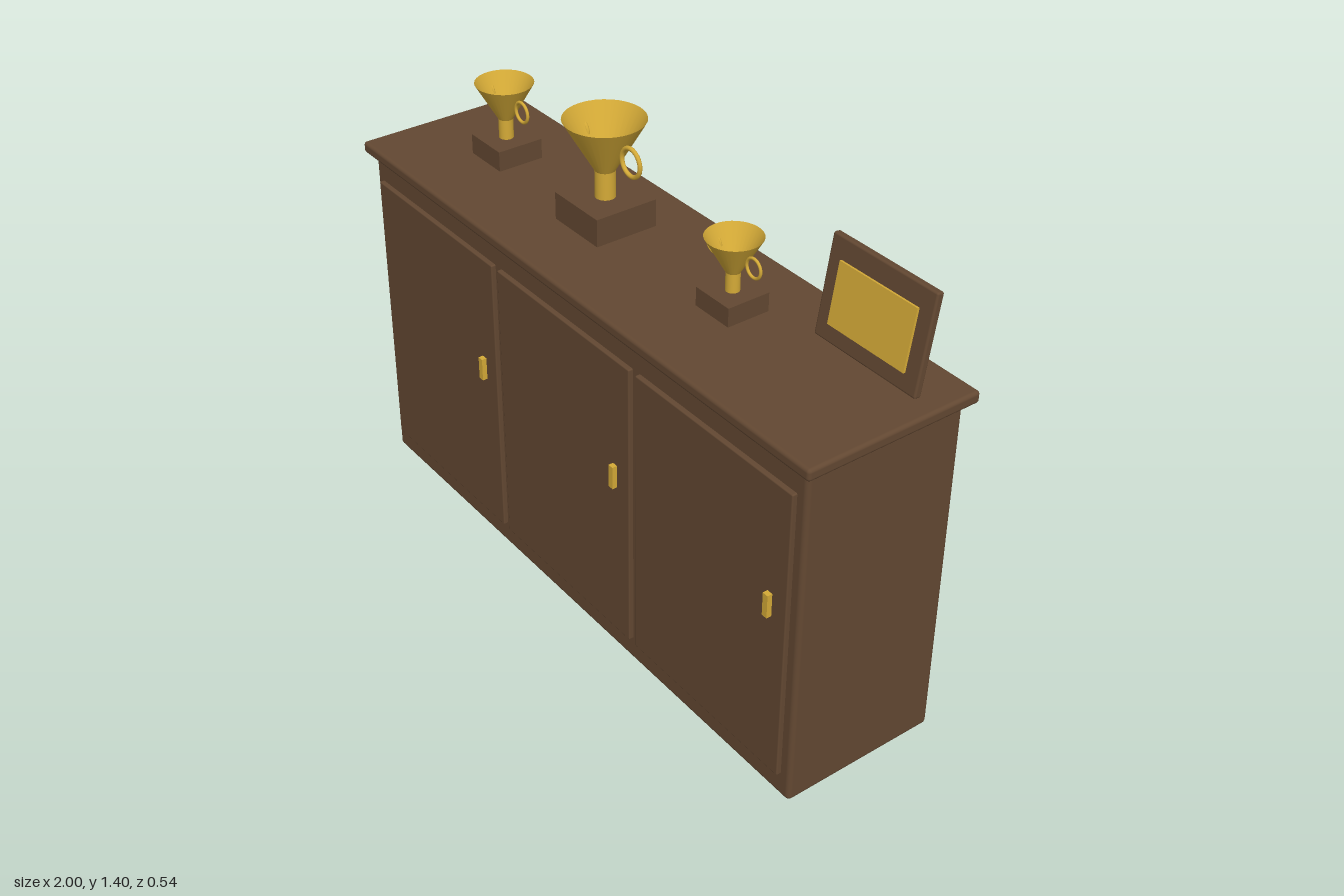
import * as THREE from 'three';
import { RoundedBoxGeometry } from 'three/addons/geometries/RoundedBoxGeometry.js';

export function createModel() {
  const group = new THREE.Group();
  const wood = new THREE.MeshStandardMaterial({ color: 0x634832 });
  wood.name = 'brown wood';
  const gold = new THREE.MeshStandardMaterial({ color: 0xd4aa37, side: THREE.DoubleSide });
  gold.name = 'gold';

  const add = (parent, name, geometry, material, x, y, z) => {
    const mesh = new THREE.Mesh(geometry, material);
    mesh.name = name;
    mesh.position.set(x, y, z);
    parent.add(mesh);
    return mesh;
  };

  // Cabinet body and overhanging top
  add(group, 'cabinetBody', new RoundedBoxGeometry(1.945, 1.053, 0.486, 3, 0.014), wood, 0, 0.5285, 0);
  add(group, 'cabinetTop', new RoundedBoxGeometry(2, 0.035, 0.535, 3, 0.01), wood, 0, 1.0705, 0);

  // Three doors, each with a pull near its left edge
  for (const x of [-0.635, 0, 0.635]) {
    add(group, 'door', new RoundedBoxGeometry(0.608, 0.9, 0.03, 2, 0.004), wood, x, 0.528, 0.242);
    add(group, 'doorPull', new THREE.BoxGeometry(0.018, 0.07, 0.02), gold, x + 0.243, 0.614, 0.262);
  }

  // Trophy: block base, stem, open conical cup and two ring handles
  const makeTrophy = (name, x, scale) => {
    const trophy = new THREE.Group();
    trophy.name = name;
    add(trophy, 'trophyBase', new THREE.BoxGeometry(0.195, 0.082, 0.195), wood, 0, 0.041, 0);
    add(trophy, 'trophyStem', new THREE.CylinderGeometry(0.029, 0.029, 0.084, 32), gold, 0, 0.122, 0);
    add(trophy, 'trophyCup', new THREE.CylinderGeometry(0.115, 0.029, 0.15, 32, 1, true), gold, 0, 0.237, 0);
    for (const side of [-1, 1]) {
      add(trophy, 'trophyHandle', new THREE.TorusGeometry(0.04, 0.0065, 10, 32), gold, side * 0.117, 0.23, 0);
    }
    trophy.scale.setScalar(scale);
    trophy.position.set(x, 1.088, -0.024);
    group.add(trophy);
  };
  makeTrophy('leftTrophy', -0.674, 0.74);
  makeTrophy('largeTrophy', -0.185, 1);
  makeTrophy('smallTrophy', 0.363, 0.67);

  // Picture frame leaning back, pivoting at its lower edge
  const frame = new THREE.Group();
  frame.name = 'pictureFrame';
  add(frame, 'frameBoard', new RoundedBoxGeometry(0.36, 0.28, 0.022, 3, 0.006), wood, 0, 0.14, -0.011);
  add(frame, 'framePicture', new THREE.BoxGeometry(0.27, 0.172, 0.008), gold, 0, 0.136, 0.003);
  frame.position.set(0.754, 1.088, -0.113);
  frame.rotation.x = -0.16;
  group.add(frame);

  return group;
}
